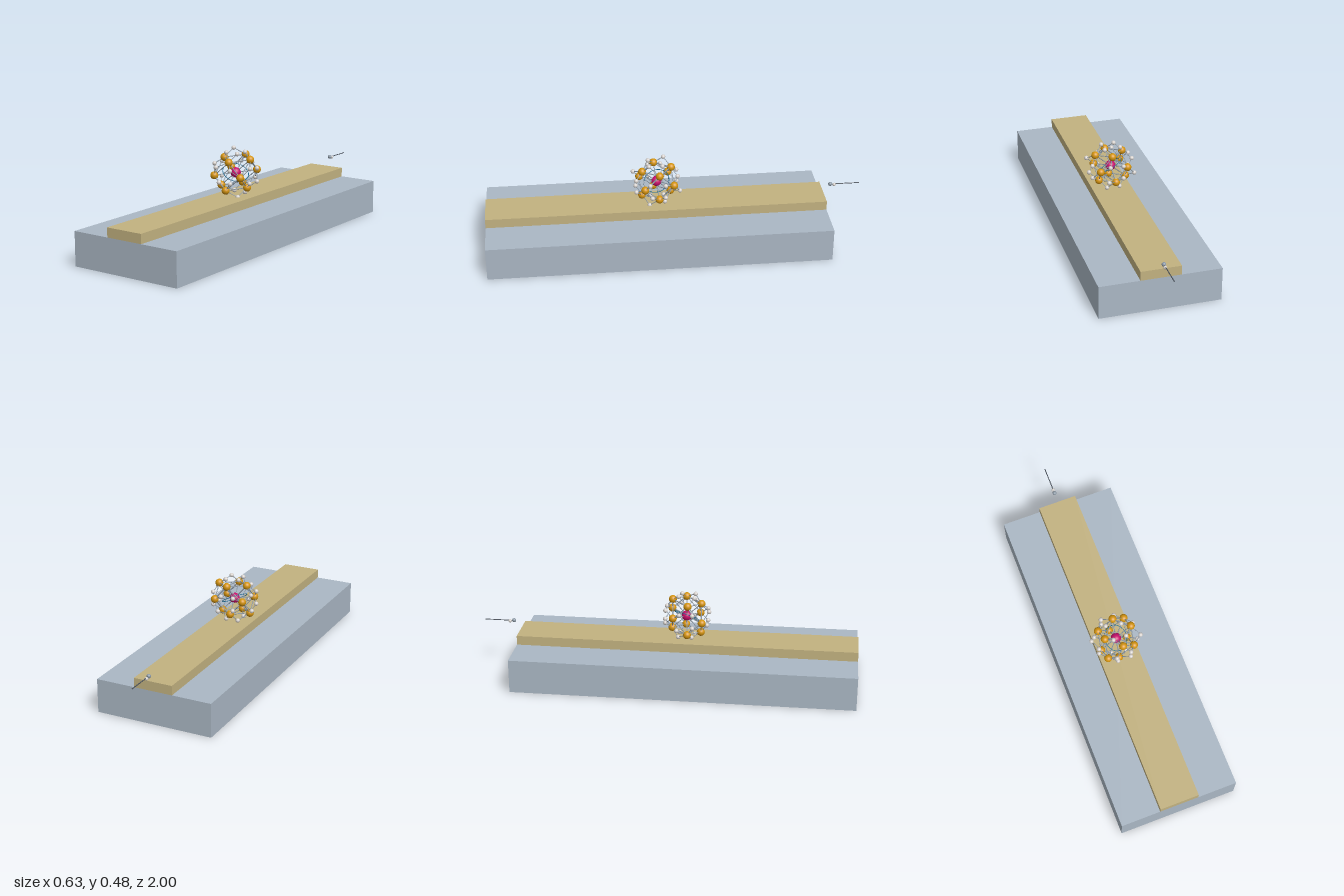
import * as THREE from 'three';

const mat = (name, color) => {
  const m = new THREE.MeshStandardMaterial({ color });
  m.name = name;
  return m;
};
const V = (x, y, z) => new THREE.Vector3(x, y, z);

export function createModel() {
  const slate = mat('slate', 0xaab7c4);
  const sand = mat('sand', 0xc2b280);
  const gold = mat('gold', 0xd4940f);
  const magenta = mat('magenta', 0xc8106e);
  const pale = mat('pale grey', 0xd6d1cd);
  const steel = mat('steel', 0x8c99a5);
  const blue = mat('blue', 0x1b6e99);
  const dark = mat('dark grey', 0x4a525c);

  const model = new THREE.Group();

  const add = (parent, name, geometry, material, pos) => {
    const mesh = new THREE.Mesh(geometry, material);
    mesh.name = name;
    if (pos) mesh.position.copy(pos);
    parent.add(mesh);
    return mesh;
  };
  const ball = (parent, name, r, material, pos) =>
    add(parent, name, new THREE.SphereGeometry(r, 24, 16), material, pos);
  const rod = (parent, name, a, b, r, material) => {
    const d = b.clone().sub(a);
    const mesh = add(parent, name, new THREE.CylinderGeometry(r, r, d.length(), 8), material,
      a.clone().add(b).multiplyScalar(0.5));
    mesh.quaternion.setFromUnitVectors(V(0, 1, 0), d.normalize());
  };

  // Bench and the strip lying on it
  add(model, 'base', new THREE.BoxGeometry(0.632, 0.18, 1.806), slate, V(0, 0.09, 0.097));
  add(model, 'strip', new THREE.BoxGeometry(0.21, 0.05, 1.806), sand, V(0, 0.205, 0.097));

  // Caged cluster, centred above the strip
  const cluster = new THREE.Group();
  cluster.name = 'cluster';
  cluster.position.set(0, 0.351, 0.094);
  model.add(cluster);
  ball(cluster, 'coreAtom', 0.027, magenta);

  // Twelve metal atoms: a slightly sheared cuboctahedron
  const a = 0.076, k = 0.133;
  const metalAt = (x, y, z) => V(x + k * y, y - k * z, z - k * x).multiplyScalar(a);
  const metals = [];
  for (const s of [-1, 1]) for (const t of [-1, 1])
    for (const c of [[s, t, 0], [s, 0, t], [0, s, t]])
      metals.push({ grid: V(...c), pos: metalAt(...c) });

  metals.forEach((m, i) => {
    ball(cluster, 'metalAtom', 0.021, gold, m.pos);
    rod(cluster, 'coreBond', V(0, 0, 0), m.pos, 0.0025, steel);
    for (const n of metals.slice(i + 1))
      if (n.grid.distanceTo(m.grid) < 1.5) rod(cluster, 'metalBond', m.pos, n.pos, 0.0025, steel);
  });

  // Outer atoms bridge the edges: four kinds, turned about the diagonal and inverted
  const kinds = [
    [0.121, 0.040, -0.042], [0.110, -0.042, -0.030],
    [0.109, 0.029, 0.039], [0.109, -0.042, 0.039],
  ];
  for (const kind of kinds) {
    for (let turn = 0; turn < 3; turn++) {
      for (const s of [-1, 1]) {
        const cycle = (p) => {
          const q = [0, 1, 2].map((i) => s * p[(i - turn + 3) % 3]);
          return [q[0], q[1], -q[2]];
        };
        const pos = V(...cycle(kind));
        ball(cluster, 'outerAtom', 0.0118, pale, pos);
        for (const foot of [[1, Math.sign(kind[1]), 0], [1, 0, Math.sign(kind[2])]])
          rod(cluster, 'outerBond', metalAt(...cycle(foot)), pos, 0.002, steel);
      }
    }
  }

  // Tilted ring around the core
  const ring = add(cluster, 'ring', new THREE.TorusGeometry(0.069, 0.0018, 8, 64), blue);
  ring.quaternion.setFromUnitVectors(V(0, 0, 1), V(0.45, 0.84, 0.29).normalize());

  // Small pair of atoms with its trailing rod behind the bench
  const probe = new THREE.Group();
  probe.name = 'probe';
  model.add(probe);
  ball(probe, 'probeFrontAtom', 0.011, steel, V(0, 0.276, -0.842));
  ball(probe, 'probeRearAtom', 0.009, pale, V(0, 0.271, -0.864));
  rod(probe, 'probeRod', V(0, 0.275, -0.842), V(0, 0.275, -1), 0.0025, dark);

  return model;
}
